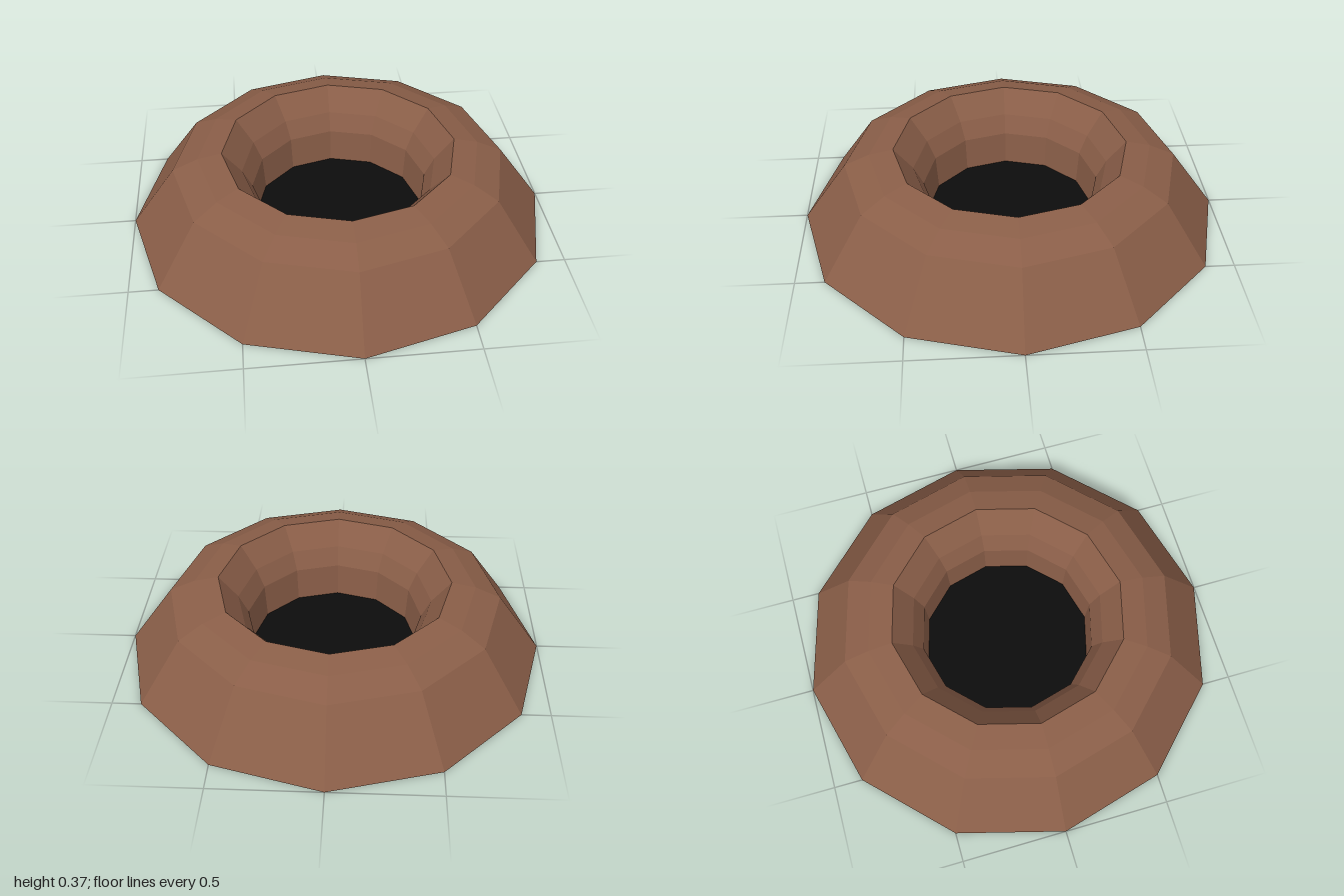
import * as THREE from 'three';

const SIDES = 12;

export function createModel() {
  const model = new THREE.Group();

  // Ring mound: closed cross-section turned in twelve flat-sided steps
  const section = [
    [0.408, 0], [1, 0],                            // flat underside
    [0.79, 0.29], [0.67, 0.345], [0.555, 0.37],    // outer slope and shoulder
    [0.465, 0.26], [0.42, 0.17], [0.408, 0],       // inner wall
  ].map(([r, y]) => new THREE.Vector2(r, y));
  const mound = new THREE.Mesh(
    new THREE.LatheGeometry(section, SIDES),
    new THREE.MeshStandardMaterial({ color: 0x8a5e48, flatShading: true })
  );
  mound.name = 'moundRing';
  model.add(mound);

  // Dark floor closing the hole, seen from above and below
  const floor = new THREE.Mesh(
    new THREE.CircleGeometry(0.408, SIDES).rotateX(-Math.PI / 2),
    new THREE.MeshStandardMaterial({ color: 0x0c0c0c, side: THREE.DoubleSide })
  );
  floor.name = 'holeFloor';
  floor.position.y = 0.003;
  model.add(floor);

  return model;
}
